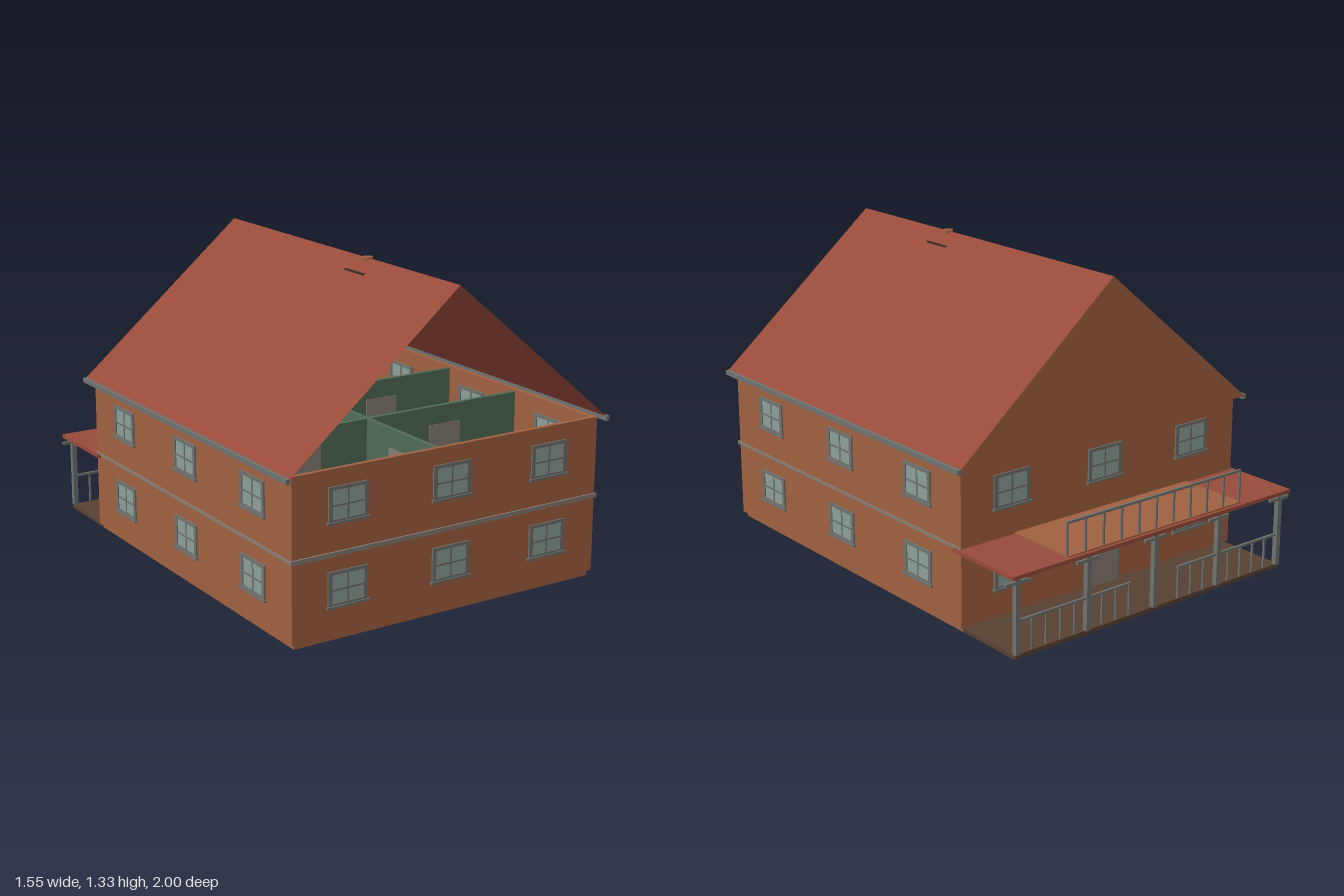
import * as THREE from 'three';

function material(name, color, double = false) {
  const m = new THREE.MeshStandardMaterial({ color });
  m.name = name;
  if (double) m.side = THREE.DoubleSide;
  return m;
}

export function createModel() {
  const house = new THREE.Group();
  house.name = 'house';
  const brown = material('wallBrown', 0xa06040, true);
  const red = material('roofRed', 0x964a3a, true);
  const grey = material('trimGrey', 0x70726e);
  const stone = material('beltGrey', 0x877c74);
  const glass = material('windowGlass', 0x8ca09a);
  const green = material('interiorGreen', 0x506b56);
  const dark = material('porchDark', 0x584132);
  const black = material('capDark', 0x3a302a);

  // Box given by its minimum and maximum on each axis
  function box(name, mat, x0, x1, y0, y1, z0, z1, parent = house) {
    const mesh = new THREE.Mesh(new THREE.BoxGeometry(x1 - x0, y1 - y0, z1 - z0), mat);
    mesh.position.set((x0 + x1) / 2, (y0 + y1) / 2, (z0 + z1) / 2);
    mesh.name = name;
    parent.add(mesh);
    return mesh;
  }

  const W = 0.735, F = 0.97, B = -0.665, T = 0.02, EAVE = 0.69, RIDGE = 1.33;

  // Foundation, outer walls and upper floor
  box('foundation', brown, -0.72, 0.72, 0, 0.025, -0.655, 0.96);
  box('frontWall', brown, -W, W, 0.022, EAVE, F - T, F);
  box('backWall', brown, -W, W, 0.022, EAVE, B, B + T);
  for (const s of [-1, 1]) {
    const a = s * W, b = s * (W - T);
    box('sideWall', brown, Math.min(a, b), Math.max(a, b), 0.022, EAVE, B + T, F - T);
  }
  box('upperFloor', dark, -W + T, W - T, 0.335, 0.35, B + T, F - T);

  // Belt course between the storeys
  box('frontBelt', stone, -W - 0.008, W + 0.008, 0.345, 0.363, F, F + 0.008);
  for (const s of [-1, 1])
    box('sideBelt', stone, s * W - 0.006, s * W + 0.006, 0.348, 0.36, B, F);

  // Interior partitions with doors
  for (const [y0, y1] of [[0.025, 0.335], [0.35, 0.68]]) {
    box('longPartition', green, -0.055, -0.035, y0, y1, B + T, F - T);
    for (const z of [0.45, -0.02]) {
      box('crossPartition', green, -W + T, -0.055, y0, y1, z - 0.01, z + 0.01);
      box('crossPartition', green, -0.035, W - T, y0, y1, z - 0.01, z + 0.01);
      for (const x of [-0.36, 0.34])
        box('innerDoor', stone, x - 0.08, x + 0.08, y0, y0 + 0.25, z - 0.013, z + 0.013);
    }
    for (const z of [0.7, 0.2])
      box('innerDoor', stone, -0.058, -0.032, y0, y0 + 0.25, z - 0.08, z + 0.08);
  }

  // Four-pane window, centred on its own origin, facing +z
  function makeWindow() {
    const g = new THREE.Group();
    g.name = 'window';
    box('pane', glass, -0.08, 0.08, -0.065, 0.065, -0.023, 0.003, g);
    for (const s of [-1, 1]) {
      box('frameSide', grey, s * 0.081 - 0.009, s * 0.081 + 0.009, -0.072, 0.072, -0.028, 0.007, g);
      box('frameRail', grey, -0.072, 0.072, s * 0.065 - 0.007, s * 0.065 + 0.007, -0.028, 0.007, g);
    }
    box('mullion', grey, -0.004, 0.004, -0.058, 0.058, -0.026, 0.005, g);
    box('crossbar', grey, -0.072, 0.072, -0.008, 0, -0.026, 0.005, g);
    box('sill', grey, -0.096, 0.096, -0.077, -0.067, -0.02, 0.012, g);
    return g;
  }
  function placeWindow(x, y, z, turn) {
    const w = makeWindow();
    w.position.set(x, y, z);
    w.rotation.y = turn;
    house.add(w);
  }
  for (const y of [0.212, 0.55]) {
    for (const x of [-0.485, 0, 0.485]) {
      placeWindow(x, y, F, 0);
      if (x !== 0 || y > 0.4) placeWindow(x, y, B, Math.PI);
    }
    for (const z of [0.69, 0.155, -0.385]) {
      placeWindow(W, y, z, Math.PI / 2);
      placeWindow(-W, y, z, -Math.PI / 2);
    }
  }

  // Back door
  box('backDoorFrame', grey, -0.09, 0.09, 0.02, 0.29, B - 0.006, B + 0.026);
  box('backDoor', stone, -0.076, 0.076, 0.02, 0.277, B - 0.009, B + 0.029);

  // Roof slopes, open at the front, with a gable at the back
  const R = 0.765, RF = 1.0, RB = -0.7;
  function facet(name, mat, points, index) {
    let g = new THREE.BufferGeometry();
    g.setAttribute('position', new THREE.Float32BufferAttribute(points.flat(), 3));
    g.setIndex(index);
    g = g.toNonIndexed();
    g.computeVertexNormals();
    const mesh = new THREE.Mesh(g, mat);
    mesh.name = name;
    house.add(mesh);
  }
  facet('rightSlope', red, [[R, EAVE, RF], [R, EAVE, RB], [0, RIDGE, RB], [0, RIDGE, RF]], [0, 1, 2, 0, 2, 3]);
  facet('leftSlope', red, [[-R, EAVE, RB], [-R, EAVE, RF], [0, RIDGE, RF], [0, RIDGE, RB]], [0, 1, 2, 0, 2, 3]);
  facet('backGable', brown, [[R, EAVE, RB], [-R, EAVE, RB], [0, RIDGE, RB]], [0, 1, 2]);
  box('backSoffit', brown, -R, R, EAVE - 0.003, EAVE + 0.002, RB, B + T);
  for (const s of [-1, 1])
    box('gutter', grey, s * 0.767 - 0.009, s * 0.767 + 0.009, 0.675, 0.695, RB, RF);

  // Chimney with cap and round flue
  box('chimney', brown, -0.052, 0.052, 1.04, 1.268, 0.322, 0.428);
  box('chimneyCap', black, -0.066, 0.066, 1.266, 1.282, 0.305, 0.445);
  const flue = new THREE.Mesh(new THREE.CylinderGeometry(0.022, 0.022, 0.055, 16), brown);
  flue.position.set(0, 1.307, 0.375);
  flue.name = 'flue';
  house.add(flue);

  // Porch deck, roof and balcony floor
  box('porchDeck', dark, -0.72, 0.72, 0, 0.018, -0.975, -0.655);
  box('porchRoof', red, -0.75, 0.75, 0.338, 0.354, -1.0, -0.63);
  box('balconyFloor', brown, -0.47, 0.47, 0.354, 0.36, -0.985, B);

  // Porch posts with bracket arms
  const PZ = -0.972;
  for (let i = 0; i < 5; i++) {
    const x = -0.71 + i * 0.355;
    box('porchPost', grey, x - 0.011, x + 0.011, 0.018, 0.338, PZ - 0.011, PZ + 0.011);
    box('bracketAcross', grey, x - 0.05, x + 0.062, 0.31, 0.323, PZ - 0.012, PZ - 0.002);
    box('bracketInward', grey, x - 0.006, x + 0.006, 0.31, 0.323, PZ - 0.012, PZ + 0.05);
  }

  // Railing: rails with evenly spaced balusters
  function railing(name, x0, x1, y0, y1, z, count) {
    const g = new THREE.Group();
    g.name = name;
    box('topRail', grey, x0, x1, y1 - 0.01, y1, z - 0.005, z + 0.005, g);
    for (let i = 0; i < count; i++) {
      const x = x0 + 0.004 + (x1 - x0 - 0.008) * i / (count - 1);
      box('baluster', grey, x - 0.004, x + 0.004, y0, y1 - 0.01, z - 0.004, z + 0.004, g);
    }
    house.add(g);
  }
  railing('porchRailing', -0.71, -0.13, 0.018, 0.16, PZ, 9);
  railing('porchRailing', 0.13, 0.71, 0.018, 0.16, PZ, 9);
  railing('balconyRailing', -0.47, 0.47, 0.36, 0.5, -0.976, 11);

  return house;
}
